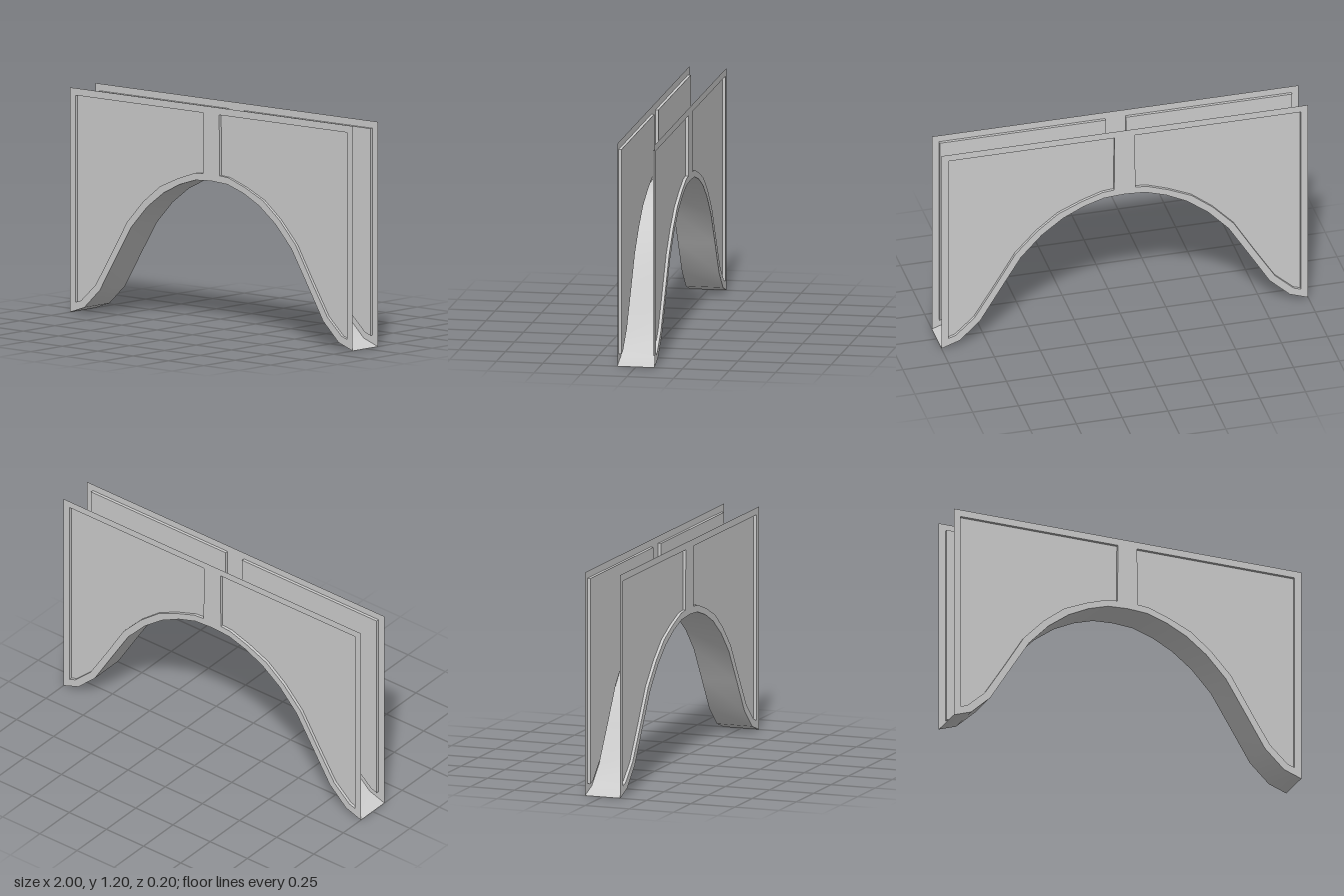
import * as THREE from 'three';

const HALF_DEPTH = 0.1, PANEL_Z = 0.084, TOP = 1.2;

// Right half of the arch, crown to foot
const archHalf = [[0, 0.804], [0.113, 0.797], [0.225, 0.762], [0.338, 0.706], [0.453, 0.62],
  [0.566, 0.5], [0.678, 0.32], [0.79, 0.138], [0.9, 0.035], [1, 0]];

// Right recessed panel, clockwise seen from the front
const panelRight = [[0.055, 1.162], [0.961, 1.162], [0.961, 0.057], [0.922, 0.07], [0.82, 0.163],
  [0.71, 0.337], [0.596, 0.524], [0.481, 0.645], [0.364, 0.737], [0.238, 0.793], [0.12, 0.833], [0.058, 0.838]];

const mirror = (pts) => pts.map(([x, y]) => [-x, y]).reverse();
const toVectors = (pts) => pts.map(([x, y]) => new THREE.Vector2(x, y));

// Ribbon along a path in xy, spanning z; it faces the right-hand side of travel
function ribbon(pts, zFront, zBack) {
  const positions = [], index = [];
  pts.forEach(([x, y], i) => {
    positions.push(x, y, zFront, x, y, zBack);
    if (i < pts.length - 1) {
      const a = i * 2;
      index.push(a, a + 1, a + 2, a + 1, a + 3, a + 2);
    }
  });
  const geometry = new THREE.BufferGeometry();
  geometry.setAttribute('position', new THREE.Float32BufferAttribute(positions, 3));
  geometry.setIndex(index);
  geometry.computeVertexNormals();
  return geometry;
}

export function createModel() {
  const smooth = new THREE.MeshStandardMaterial({ color: 0xcccccc, side: THREE.DoubleSide });
  const flat = new THREE.MeshStandardMaterial({ color: 0xcccccc, side: THREE.DoubleSide, flatShading: true });
  const model = new THREE.Group();
  model.name = 'archBridge';

  const add = (parent, name, geometry, material) => {
    const mesh = new THREE.Mesh(geometry, material);
    mesh.name = name;
    parent.add(mesh);
    return mesh;
  };

  const arch = [...mirror(archHalf), ...archHalf.slice(1)];
  const panels = { left: panelRight, right: mirror(panelRight) };

  // Curved underside joining the two walls
  add(model, 'archUnderside', ribbon(arch, HALF_DEPTH, -HALF_DEPTH), smooth);

  // Thin side walls, the back one turned half round
  for (const [name, turn] of [['frontWall', 0], ['backWall', Math.PI]]) {
    const wall = new THREE.Group();
    wall.name = name;
    wall.rotation.y = turn;
    model.add(wall);

    // Frame with an opening for each panel
    const outline = new THREE.Shape(toVectors([...arch, [1, TOP], [-1, TOP]]));
    for (const pts of Object.values(panels)) outline.holes.push(new THREE.Path(toVectors(pts)));
    add(wall, 'frame', new THREE.ShapeGeometry(outline), flat).position.z = HALF_DEPTH;

    // Recessed panels and the lips around them
    for (const [side, pts] of Object.entries(panels)) {
      const panel = new THREE.ShapeGeometry(new THREE.Shape(toVectors(pts)));
      add(wall, side + 'Panel', panel, flat).position.z = PANEL_Z;
      add(wall, side + 'PanelLip', ribbon([...pts, pts[0]], HALF_DEPTH, PANEL_Z), flat);
    }
  }
  return model;
}
